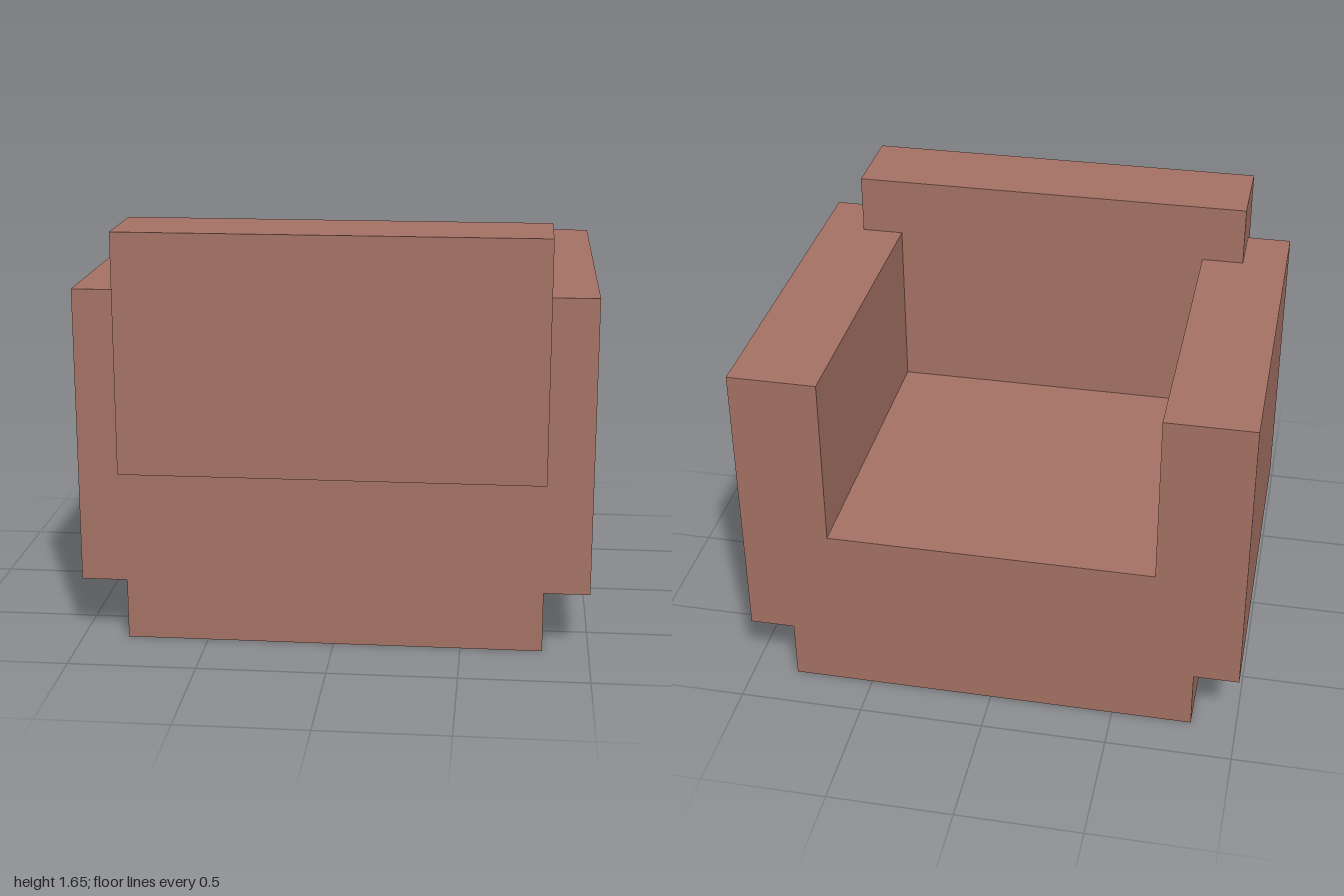
import * as THREE from 'three';

export function createModel() {
  const group = new THREE.Group();
  const upholstery = new THREE.MeshStandardMaterial({ color: 0xa67265 });
  upholstery.name = 'dusty rose upholstery';

  // Seat, arms and recessed base share one cross-section, run front to back
  const half = [[0.82, 0], [0.82, 0.24], [1, 0.24], [1, 1.41], [0.65, 1.41], [0.65, 0.71]];
  const mirrored = half.map(([x, y]) => [-x, y]).reverse();
  const profile = new THREE.Shape([...half, ...mirrored].map(([x, y]) => new THREE.Vector2(x, y)));
  const bodyGeometry = new THREE.ExtrudeGeometry(profile, { depth: 1.53, bevelEnabled: false });
  bodyGeometry.translate(0, 0, -0.82);
  const body = new THREE.Mesh(bodyGeometry, upholstery);
  body.name = 'seatArmsAndBase';

  // Backrest sits on the seat, cuts into the arms and overhangs the +z side
  const backrest = new THREE.Mesh(new THREE.BoxGeometry(1.64, 0.94, 0.35), upholstery);
  backrest.name = 'backrest';
  backrest.position.set(0, 1.18, 0.645);

  group.add(body, backrest);
  group.name = 'armchair';
  return group;
}
